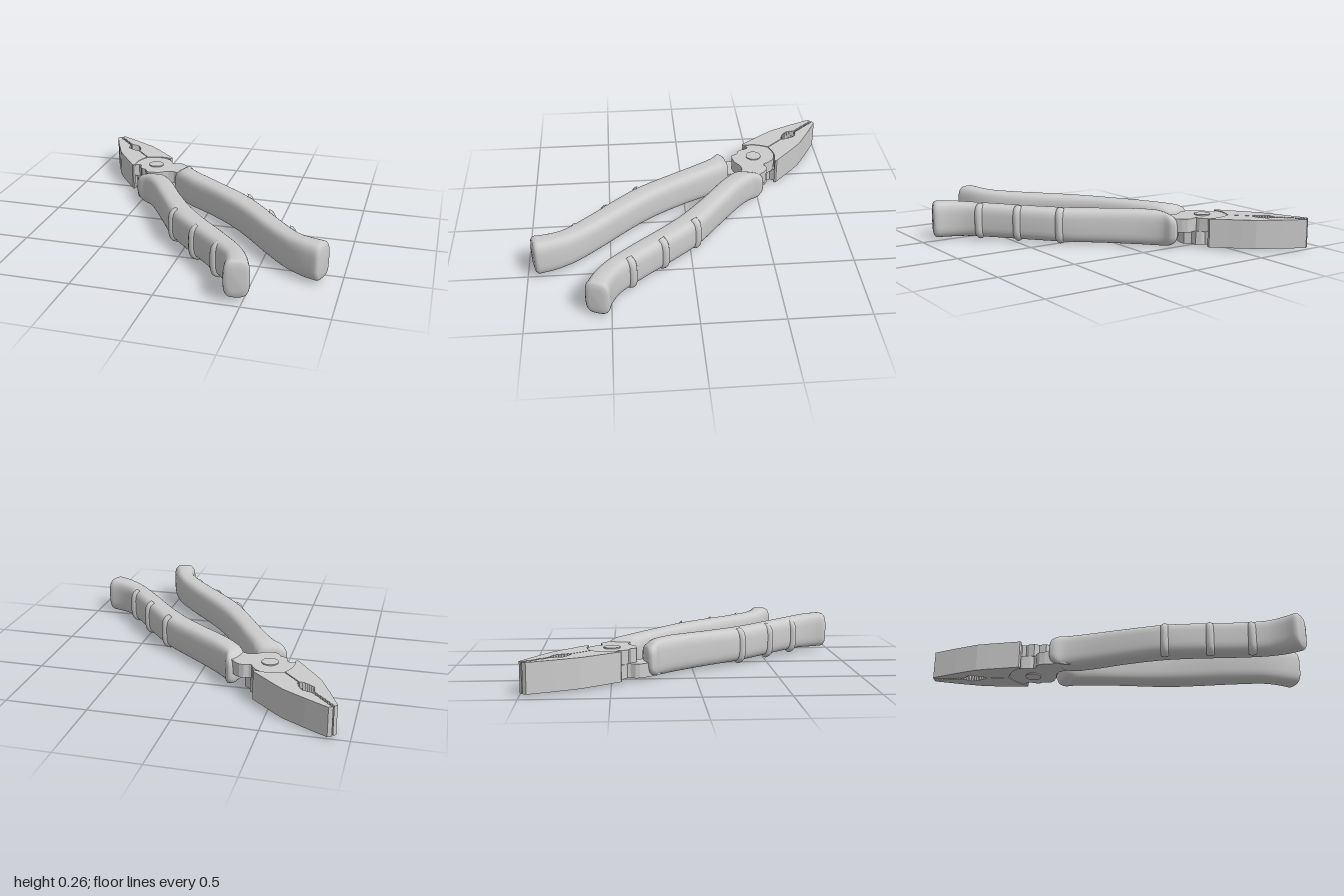
import * as THREE from 'three';

const V3 = (x, y, z) => new THREE.Vector3(x, y, z);
const metal = new THREE.MeshStandardMaterial({ color: 0xcccccc });

// Local frame: x runs from jaw tips (-) to handles (+), v = -z is sideways, pivot at the origin.
function plate(name, pts, y0, y1, s) {
  const shape = new THREE.Shape(pts.map(([u, v]) => new THREE.Vector2(u, v * s)));
  const geo = new THREE.ExtrudeGeometry(shape, { depth: y1 - y0, bevelEnabled: false });
  geo.rotateX(-Math.PI / 2).translate(0, y0, 0);
  const mesh = new THREE.Mesh(geo, metal);
  mesh.name = name;
  return mesh;
}

// Zigzag points between two ends of a gripping edge
function teeth([u0, v0], [u1, v1], n, depth) {
  const out = [];
  for (let i = 0; i < n; i++) {
    for (const [f, d] of [[0, 0], [0.5, depth]]) {
      const t = (i + f) / n;
      out.push([u0 + (u1 - u0) * t, v0 + (v1 - v0) * t + d]);
    }
  }
  return out;
}

const jawOutline = [
  [-0.65, 0.03], [-0.5, 0.082], [-0.35, 0.128], [-0.26, 0.139], [-0.175, 0.146], [-0.068, 0.156],
  [-0.058, 0.15], [-0.062, 0.137], [-0.09, 0.117], [-0.118, 0.09], [-0.14, 0.055], [-0.156, 0.018],
  [-0.16, 0.003], [-0.315, 0.003],
  ...teeth([-0.315, 0.006], [-0.36, 0.028], 3, 0.008),
  ...teeth([-0.36, 0.028], [-0.41, 0.035], 3, 0.008),
  ...teeth([-0.41, 0.035], [-0.455, 0.005], 3, 0.008),
  ...teeth([-0.455, 0.003], [-0.655, 0.003], 12, 0.008), [-0.655, 0.003],
];

// Lapped hub with its tang on +v and its jaw root on -v
const hubOutline = [
  [-0.16, 0], [-0.152, 0.018], [-0.136, 0.055], [-0.114, 0.088], [-0.086, 0.112], [-0.05, 0.125],
  [0, 0.122], [0.02, 0.113], [0.035, 0.125], [0.045, 0.155], [0.065, 0.172], [0.1, 0.18], [0.2, 0.18],
  [0.32, 0.15], [0.32, 0.06], [0.24, 0.075], [0.21, 0.067], [0.175, 0.05], [0.155, 0.02], [0.15, 0],
  [0.145, -0.045], [0.12, -0.09], [0.095, -0.113], [0.05, -0.105], [0.02, -0.122], [-0.015, -0.115],
  [-0.035, -0.1], [-0.06, -0.105], [-0.07, -0.14], [-0.2, -0.12], [-0.2, -0.005],
];

// Handle sections: outer u, v, inner u, v, half height, centre height
const sections = [
  [0.135, 0.205, 0.235, 0.04, 0.09, 0.118], [0.165, 0.208, 0.255, 0.037, 0.102, 0.118],
  [0.22, 0.187, 0.3, 0.04, 0.109, 0.12], [0.33, 0.19, 0.42, 0.055, 0.111, 0.124],
  [0.555, 0.23, 0.62, 0.096, 0.108, 0.128], [0.85, 0.283, 0.85, 0.127, 0.106, 0.13],
  [1.05, 0.283, 1.05, 0.133, 0.106, 0.131], [1.3, 0.27, 1.28, 0.127, 0.107, 0.132],
  [1.5, 0.27, 1.5, 0.135, 0.11, 0.134], [1.595, 0.302, 1.62, 0.163, 0.115, 0.136],
  [1.65, 0.338, 1.72, 0.204, 0.116, 0.137],
];

function handle(s) {
  const outer = new THREE.CatmullRomCurve3(sections.map(r => V3(r[0], r[4], r[1])));
  const inner = new THREE.CatmullRomCurve3(sections.map(r => V3(r[2], r[5], r[3])));
  // Stations: position along the curve, section scale, offset along the axis (for rounded ends)
  const st = [[0, 0, -0.028], [0, 0.5, -0.027], [0, 0.8, -0.022], [0, 0.93, -0.011]];
  for (let i = 0; i <= 50; i++) st.push([i / 50, 1, 0]);
  st.push([1, 0.96, 0.013], [1, 0.87, 0.022], [1, 0.6, 0.027], [1, 0, 0.029]);
  const N = 32, pos = [], idx = [];
  const pw = c => Math.sign(c) * Math.pow(Math.abs(c), 0.6);
  st.forEach(([t, k, off], j) => {
    const o = outer.getPoint(t), i = inner.getPoint(t);
    const du = (o.x - i.x) / 2, dv = (o.z - i.z) / 2, len = Math.hypot(du, dv);
    const cu = (o.x + i.x) / 2 + off * dv / len, cv = (o.z + i.z) / 2 - off * du / len;
    const cy = i.y + (s < 0 ? 0.013 * t : 0);
    for (let n = 0; n < N; n++) {
      const a = n / N * Math.PI * 2, c = pw(Math.cos(a)) * k, h = pw(Math.sin(a)) * k;
      pos.push(cu + du * c, cy + o.y * h, -s * (cv + dv * c));
      if (j < st.length - 1) {
        const p = j * N + n, q = j * N + (n + 1) % N;
        if (s > 0) idx.push(p, q, p + N, q, q + N, p + N);
        else idx.push(p, p + N, q, q, p + N, q + N);
      }
    }
  });
  const geo = new THREE.BufferGeometry();
  geo.setAttribute('position', new THREE.Float32BufferAttribute(pos, 3));
  geo.setIndex(idx);
  geo.computeVertexNormals();
  const grip = new THREE.Mesh(geo, metal);
  grip.name = 'handleGrip';
  return grip;
}

// Raised finger ridge curving over the outer side of a handle
function ridge(u, v, s) {
  const path = [[-0.095, -0.04], [-0.075, -0.01], [0, 0], [0.075, -0.01], [0.095, -0.04]];
  const curve = new THREE.CatmullRomCurve3(path.map(([y, d]) => V3(u, 0.132 + y, -s * (v + d))));
  const mesh = new THREE.Mesh(new THREE.TubeGeometry(curve, 24, 0.026, 12), metal);
  mesh.name = 'gripRidge';
  return mesh;
}

export function createModel() {
  const model = new THREE.Group();
  model.name = 'pliers';
  const body = new THREE.Group();
  body.name = 'pliersBody';
  body.rotation.y = -48 * Math.PI / 180;
  body.position.set(-0.462, 0, -0.497);
  model.add(body);

  // Two mirrored halves, lapped one above the other at the pivot
  for (const s of [1, -1]) {
    const half = new THREE.Group();
    half.name = s > 0 ? 'upperHalf' : 'lowerHalf';
    const y0 = s > 0 ? 0.11 : 0.025;
    half.add(
      plate('jaw', jawOutline, 0.02, 0.199, -s),
      plate('hub', hubOutline, y0, y0 + 0.085, s),
      handle(s),
      ridge(0.86, 0.276, s), ridge(1.14, 0.272, s), ridge(1.4, 0.262, s),
    );
    body.add(half);
  }

  // Pivot pin
  const pin = new THREE.Mesh(new THREE.CylinderGeometry(0.05, 0.05, 0.184, 40), metal);
  pin.name = 'pivotPin';
  pin.position.y = 0.11;
  body.add(pin);
  return model;
}
